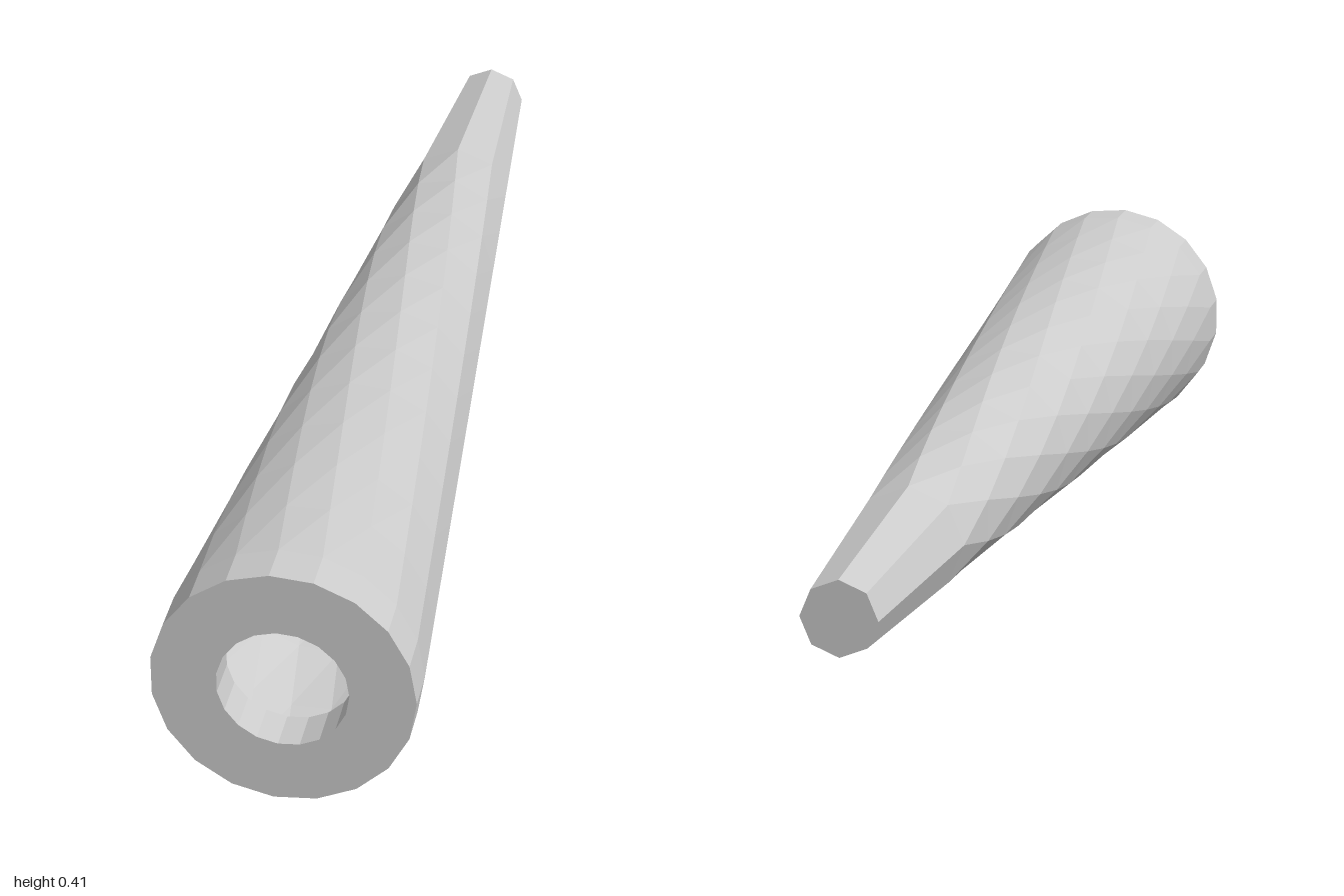
import * as THREE from 'three';

const FRONT = 1, COLLAR_BACK = 0.93, BACK = -1, TAPER_END = -0.6;
const SIDES_FRONT = 19, SIDES_BACK = 8;
const R_FRONT = 0.206, R_BACK = 0.061, R_HOLE = 0.103, WALL = 0.008;

const material = new THREE.MeshStandardMaterial({ color: 0xcccccc, flatShading: true });

const radiusAt = (z) => THREE.MathUtils.mapLinear(z, COLLAR_BACK, BACK, R_FRONT, R_BACK);

// Regular polygon in the xy plane, first corner at +x
function polygon(n, r) {
  return Array.from({ length: n }, (_, k) => {
    const a = (k / n) * Math.PI * 2;
    return new THREE.Vector2(r * Math.cos(a), r * Math.sin(a));
  });
}

// Tapered skin whose rings lose one side at a time, giving twisting strips
function skin(inset, backZ, inward) {
  const rings = [];
  const steps = SIDES_FRONT - SIDES_BACK;
  for (let i = 0; i <= steps; i++) {
    rings.push({ n: SIDES_FRONT - i, z: THREE.MathUtils.lerp(COLLAR_BACK, TAPER_END, i / steps) });
  }
  rings.push({ n: SIDES_BACK, z: backZ });

  const positions = [];
  const corner = ({ n, z }, k) => {
    const a = ((k % n) / n) * Math.PI * 2;
    const r = radiusAt(z) - inset;
    return [r * Math.cos(a), r * Math.sin(a), z];
  };
  const triangle = (a, b, c) => positions.push(...a, ...(inward ? c : b), ...(inward ? b : c));

  for (let i = 0; i < rings.length - 1; i++) {
    const p = rings[i], q = rings[i + 1];
    for (let k = 0; k < p.n; k++) {
      triangle(corner(p, k), corner(q, k), corner(p, k + 1));
      if (k < q.n) triangle(corner(p, k + 1), corner(q, k), corner(q, k + 1));
    }
  }
  const geometry = new THREE.BufferGeometry();
  geometry.setAttribute('position', new THREE.Float32BufferAttribute(positions, 3));
  geometry.computeVertexNormals();
  return geometry;
}

export function createModel() {
  const group = new THREE.Group();
  group.name = 'taperedTube';
  const add = (name, geometry) => {
    const mesh = new THREE.Mesh(geometry, material);
    mesh.name = name;
    mesh.position.y = R_FRONT;
    group.add(mesh);
  };

  // Thick front collar with the round opening
  const ring = new THREE.Shape(polygon(SIDES_FRONT, R_FRONT));
  ring.holes.push(new THREE.Path(polygon(SIDES_FRONT, R_HOLE)));
  const collar = new THREE.ExtrudeGeometry(ring, { depth: FRONT - COLLAR_BACK, bevelEnabled: false });
  add('frontCollar', collar.translate(0, 0, COLLAR_BACK));

  // Outer and inner walls
  const floorZ = BACK + WALL;
  add('outerWall', skin(0, BACK, false));
  add('innerWall', skin(WALL, floorZ, true));

  // Closed back end, outside and inside
  add('backCap', new THREE.CircleGeometry(R_BACK, SIDES_BACK).rotateY(Math.PI).translate(0, 0, BACK));
  add('innerFloor', new THREE.CircleGeometry(radiusAt(floorZ) - WALL, SIDES_BACK).translate(0, 0, floorZ));

  return group;
}
